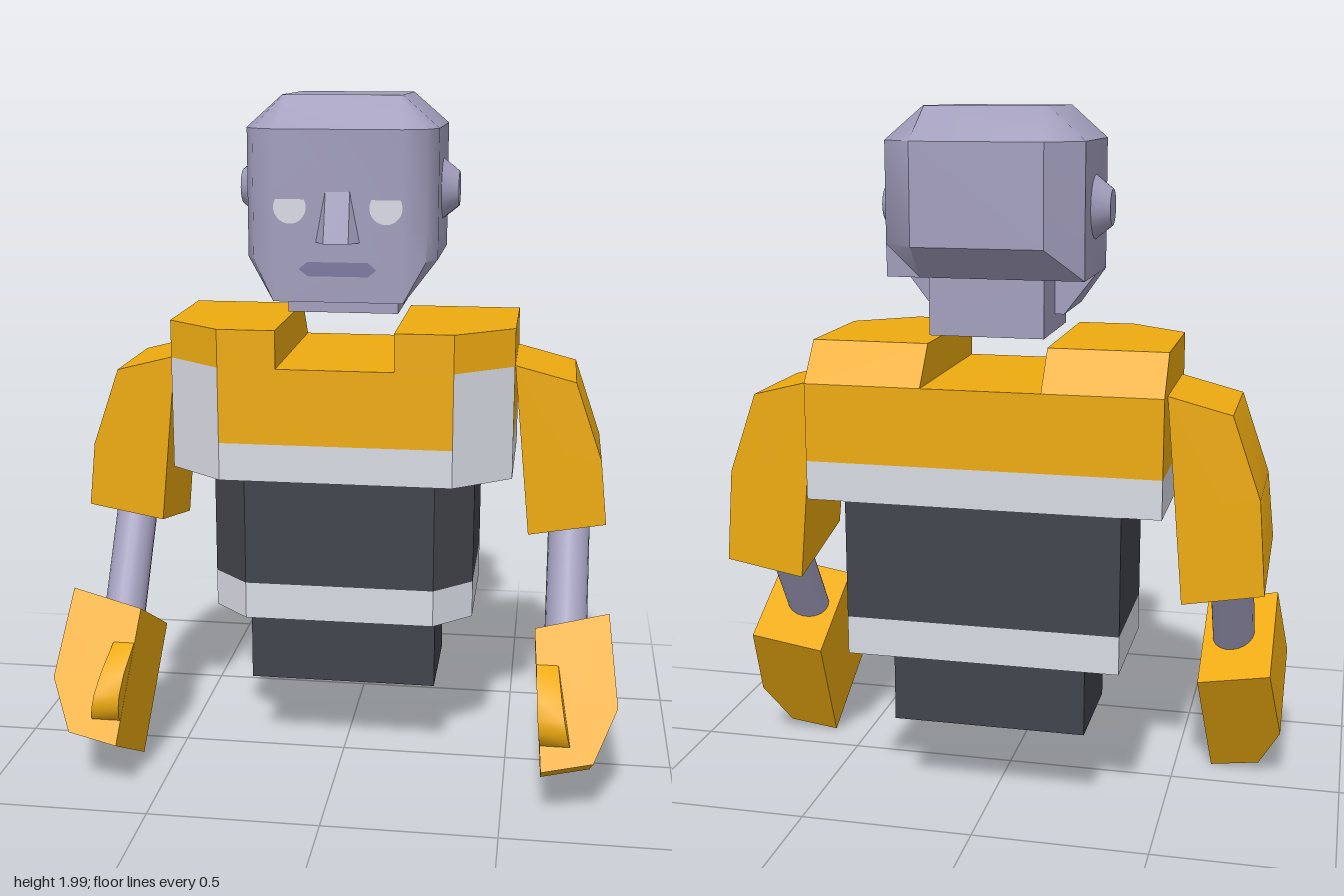
import * as THREE from 'three';
import { toCreasedNormals } from 'three/addons/utils/BufferGeometryUtils.js';

const mat = (color) => new THREE.MeshStandardMaterial({ color });
const skin = mat(0xa39fbe), yellow = mat(0xeeab10), dark = mat(0x41444c);
const white = mat(0xd8dae4), lips = mat(0x7c78a0);
skin.name = 'skin';

// Skin a list of equal-length rings of [x, y, z], cap both ends, face outward.
function loft(rings, crease = 0.1) {
  const tris = [];
  const n = rings[0].length;
  for (let r = 0; r + 1 < rings.length; r++) {
    for (let i = 0; i < n; i++) {
      const j = (i + 1) % n, a = rings[r], b = rings[r + 1];
      tris.push([a[i], a[j], b[j]], [a[i], b[j], b[i]]);
    }
  }
  const cap = (ring, flip) => {
    const c = [0, 1, 2].map((k) => ring.reduce((s, p) => s + p[k], 0) / n);
    ring.forEach((p, i) => {
      const q = ring[(i + 1) % n];
      tris.push(flip ? [c, q, p] : [c, p, q]);
    });
  };
  cap(rings[0], true);
  cap(rings[rings.length - 1], false);
  const v = (p) => new THREE.Vector3(...p);
  const volume = tris.reduce((s, [a, b, c]) => s + v(a).dot(v(b).cross(v(c))), 0);
  if (volume < 0) tris.forEach((t) => t.reverse());
  const geo = new THREE.BufferGeometry();
  geo.setAttribute('position', new THREE.Float32BufferAttribute(tris.flat(2), 3));
  geo.computeVertexNormals();
  return toCreasedNormals(geo, crease);
}

// Outline at height y: pass the +x half as [x, z] from front to back.
const ring = (y, half) => [
  ...half.map(([x, z]) => [x, y, z]),
  ...half.slice().reverse().map(([x, z]) => [-x, y, z]),
];

function add(parent, name, geo, material) {
  const mesh = new THREE.Mesh(geo, material);
  mesh.name = name;
  parent.add(mesh);
  return mesh;
}

function box(parent, name, material, [x0, x1], [y0, y1], [z0, z1]) {
  const mesh = add(parent, name, new THREE.BoxGeometry(x1 - x0, y1 - y0, z1 - z0), material);
  mesh.position.set((x0 + x1) / 2, (y0 + y1) / 2, (z0 + z1) / 2);
}

function buildHead() {
  const head = new THREE.Group();
  head.name = 'head';
  // Skull with bevelled crown, tucked nape and stepped jaw
  const front = [[0.18, 0.13], [0.245, 0.095], [0.273, 0.03]];
  const full = [...front, [0.273, -0.32], [0.18, -0.41]];
  add(head, 'skull', loft([
    ring(2, [[0.16, 0.04], [0.168, 0.037], [0.17, 0.03], [0.17, -0.3], [0.165, -0.31]]),
    ring(1.91, full),
    ring(1.635, full),
    ring(1.545, [...front, [0.273, -0.315], [0.18, -0.317]]),
    ring(1.545, [...front, [0.273, -0.145], [0.18, -0.146]]),
    ring(1.432, [[0.18, 0.13], [0.184, 0.128], [0.186, 0.12], [0.186, -0.145], [0.18, -0.146]]),
  ], 0.74), skin);
  box(head, 'neck', skin, [-0.16, 0.16], [1.385, 1.56], [-0.3, 0.02]);

  add(head, 'nose', loft([
    ring(1.6, [[0.035, 0.17], [0.065, 0.125]]),
    ring(1.74, [[0.034, 0.132], [0.037, 0.125]]),
  ]), skin);

  const mouth = new THREE.Shape([[-0.11, 1.525], [-0.085, 1.505], [0.085, 1.505],
    [0.11, 1.525], [0.085, 1.545], [-0.085, 1.545]].map((p) => new THREE.Vector2(...p)));
  add(head, 'mouth', new THREE.ShapeGeometry(mouth), lips).position.z = 0.132;

  for (const s of [1, -1]) {
    // Half-closed eye: disc with a flat upper lid
    const eye = new THREE.Shape();
    eye.absarc(0, 0, 0.046, Math.PI - 0.5, Math.PI * 2 + 0.5, false);
    add(head, 'eye', new THREE.ShapeGeometry(eye, 16), white).position.set(s * 0.135, 1.697, 0.132);

    const ear = add(head, 'ear', toCreasedNormals(
      new THREE.CylinderGeometry(0.05, 0.09, 0.05, 20), 0.6), skin);
    ear.rotation.z = -s * Math.PI / 2;
    ear.position.set(s * 0.295, 1.73, -0.15);
  }
  return head;
}

function buildTorso() {
  const torso = new THREE.Group();
  torso.name = 'torso';
  const prism = (name, material, y0, y1, half) =>
    add(torso, name, loft([ring(y0, half), ring(y1, half)]), material);
  const waist = [[0.28, 0.115], [0.39, 0.01], [0.39, -0.375]];
  box(torso, 'pelvis', dark, [-0.28, 0.28], [0.245, 0.48], [-0.29, 0.03]);
  prism('belt', white, 0.47, 0.58, waist);
  prism('abdomen', dark, 0.58, 0.92, waist);
  prism('chestBand', white, 0.92, 1.03, [[0.335, 0.2], [0.5, 0.07], [0.5, -0.378]]);
  prism('chest', yellow, 1.03, 1.25, [[0.335, 0.2], [0.335, 0.07], [0.5, 0.07], [0.5, -0.378]]);

  for (const s of [1, -1]) {
    // White wedge filling the bevelled front corner of the chest
    const wedge = (y) => [[s * 0.335, y, 0.2], [s * 0.5, y, 0.07], [s * 0.335, y, 0.07]];
    add(torso, 'cornerPanel', loft([wedge(1.03), wedge(1.25)]), white);
    // Raised shoulder beside the neck notch, sloping at the back
    const top = (y, back) => [[0.168, 0.2], [0.335, 0.2], [0.5, 0.07], [0.5, back], [0.168, back]]
      .map(([x, z]) => [s * x, y, z]);
    add(torso, 'shoulder', loft([top(1.25, -0.378), top(1.36, -0.29)]), yellow);
  }
  return torso;
}

function buildArm(s) {
  const arm = new THREE.Group();
  arm.name = s > 0 ? 'leftArm' : 'rightArm';

  // Sleeve: curved outline swept front to back, its cuff dropping to the rear
  const sleeve = [[0.5, 1.245], [0.675, 1.2], [0.755, 0.97], [0.775, 0.78], [0.55, 0.74]];
  const slice = (z, drop) => sleeve.map(([x, y]) => [s * x, y < 0.8 ? y - drop : y, z]);
  add(arm, 'sleeve', loft([slice(0.03, 0), slice(-0.31, 0.075)], 0.6), yellow);

  // Forearm rod
  const a = new THREE.Vector3(s * 0.67, 0.82, -0.18), b = new THREE.Vector3(s * 0.67, 0.42, 0.08);
  const rod = add(arm, 'forearm', new THREE.CylinderGeometry(0.062, 0.062, a.distanceTo(b), 20), skin);
  rod.position.copy(a).add(b).multiplyScalar(0.5);
  rod.quaternion.setFromUnitVectors(new THREE.Vector3(0, 1, 0), a.clone().sub(b).normalize());

  // Fist: tilted block narrowing at the outer knuckles
  const face = [[0.58, 0.515], [0.79, 0.56], [0.82, 0.33], [0.755, 0.195], [0.61, 0.168]]
    .map(([x, y]) => [s * x, y, 0.175 + (0.56 - y) * 0.6]);
  add(arm, 'hand', loft([face, face.map(([x, y, z]) => [x, y - 0.16, z - 0.295])]), yellow);

  // Thumb: rounded ridge along the inner front edge
  const thumb = [[0.22, 0.43], [0.265, 0.425], [0.36, 0.37], [0.4, 0.32], [0.402, 0.285],
    [0.393, 0.25], [0.365, 0.225]];
  const side = (x, slope) => thumb.map(([z, y]) => [s * (x + (0.43 - y) * slope), y, z]);
  add(arm, 'thumb', loft([side(0.588, 0.085), side(0.65, 0.2)], 0.7), yellow);
  return arm;
}

export function createModel() {
  const model = new THREE.Group();
  model.name = 'figure';
  model.add(buildHead(), buildTorso(), buildArm(1), buildArm(-1));
  return model;
}
